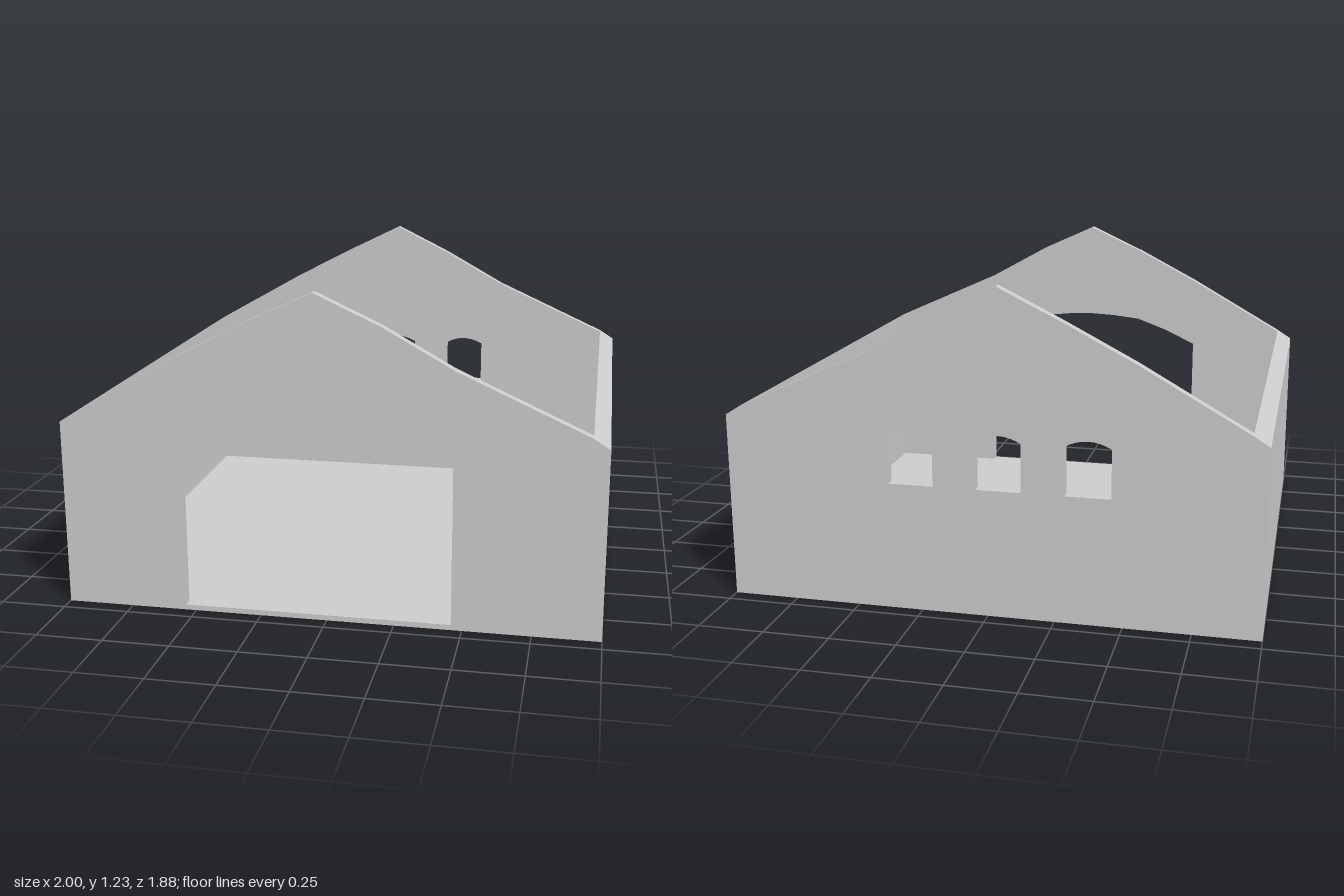
import * as THREE from 'three';

const HALF_W = 1, HALF_D = 0.94, INNER_W = 0.94, INNER_D = 0.9, FLOOR = 0.02;

const toPoints = (list) => list.map(([x, y]) => new THREE.Vector2(x, y));

// Gable outline, from the bottom left round to the top left
function gableShape(apexY) {
  return new THREE.Shape(toPoints([
    [-HALF_W, 0], [HALF_W, 0], [HALF_W, 0.71], [0.94, 0.748], [0.46, 0.965],
    [0.2, 1.11], [-0.04, apexY], [-0.28, 1.11], [-0.54, 0.975], [-0.94, 0.748], [-HALF_W, 0.71],
  ]));
}

// Small window with a shallow arched head
function windowHole(cx) {
  const w = 0.085, sill = 0.485, spring = 0.668, rise = 0.024;
  const pts = [[cx + w, sill], [cx - w, sill]];
  for (let i = 0; i <= 8; i++) {
    const t = -1 + i / 4;
    pts.push([cx + w * t, spring + rise * (1 - t * t)]);
  }
  return new THREE.Path(toPoints(pts));
}

export function createModel() {
  const model = new THREE.Group();
  const material = new THREE.MeshStandardMaterial({ color: 0xcccccc, flatShading: true });

  const add = (name, geometry, z = 0) => {
    const mesh = new THREE.Mesh(geometry, material);
    mesh.name = name;
    mesh.position.z = z;
    model.add(mesh);
    return mesh;
  };
  const extrude = (shape, depth) =>
    new THREE.ExtrudeGeometry(shape, { depth, bevelEnabled: false, curveSegments: 8 });

  // Front gable with the wide arched doorway
  const front = gableShape(1.22);
  front.holes.push(new THREE.Path(toPoints([
    [0.46, FLOOR], [-0.54, FLOOR], [-0.54, 0.67], [-0.4, 0.735], [-0.27, 0.782],
    [-0.15, 0.795], [-0.04, 0.8], [0.07, 0.795], [0.19, 0.782], [0.33, 0.735], [0.46, 0.67],
  ])));
  add('frontGable', extrude(front, HALF_D - INNER_D), INNER_D);

  // Back gable with three windows
  const back = gableShape(1.228);
  for (const x of [-0.37, -0.042, 0.287]) back.holes.push(windowHole(x));
  add('backGable', extrude(back, HALF_D - INNER_D), -HALF_D);

  // Side walls with sloping tops that follow the roof pitch
  for (const [name, s] of [['leftWall', 1], ['rightWall', -1]]) {
    const section = new THREE.Shape(toPoints([
      [s * INNER_W, 0], [s * HALF_W, 0], [s * HALF_W, 0.71], [s * INNER_W, 0.748],
    ]));
    add(name, extrude(section, 2 * INNER_D), -INNER_D);
  }

  // Floor slab between the walls
  const floor = add('floor', new THREE.BoxGeometry(2 * INNER_W, FLOOR, 2 * INNER_D));
  floor.position.y = FLOOR / 2;

  return model;
}
